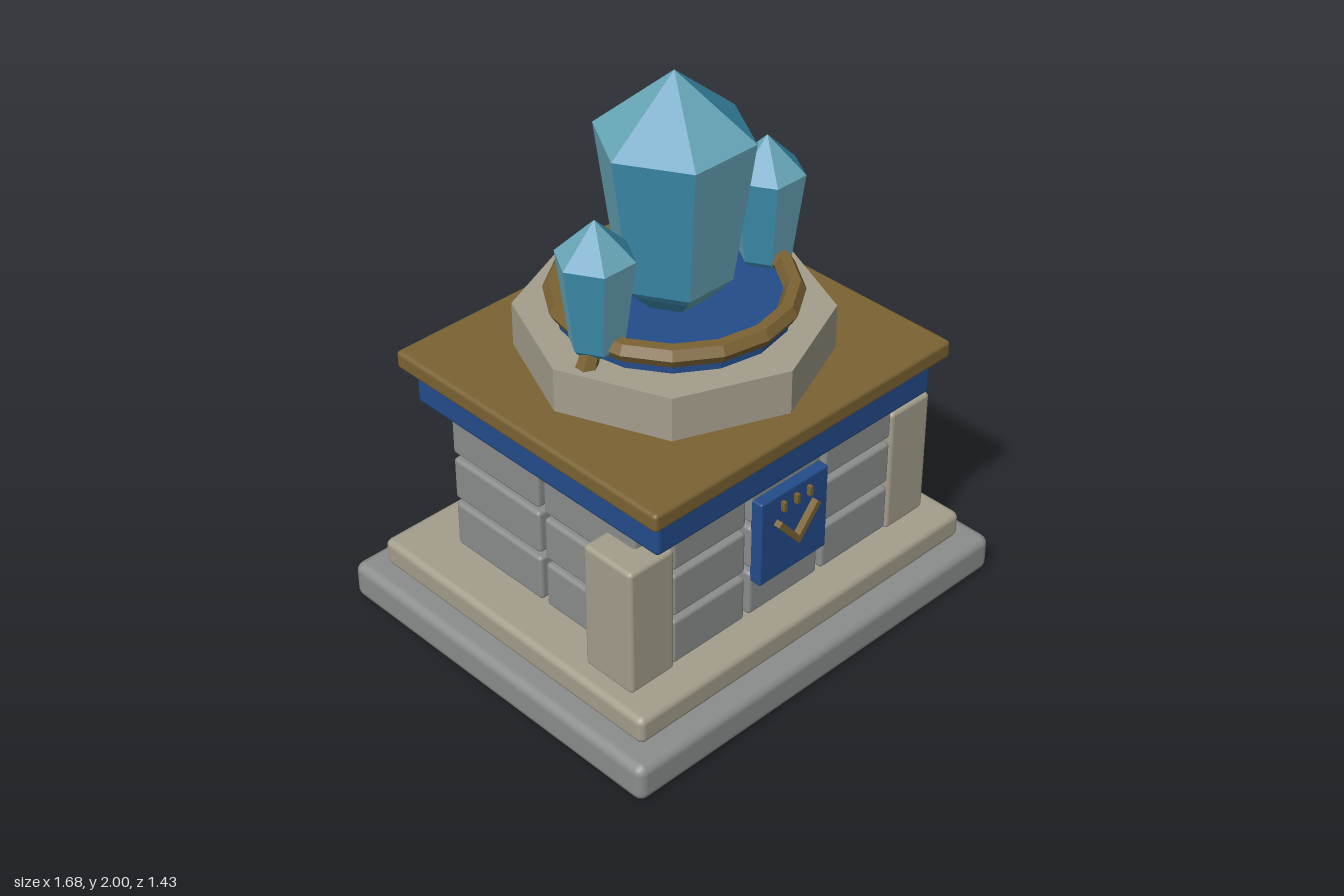
import * as THREE from 'three';
import { RoundedBoxGeometry } from 'three/addons/geometries/RoundedBoxGeometry.js';

const paint = (name, color) => {
  const m = new THREE.MeshStandardMaterial({ color });
  m.name = name;
  return m;
};

export function createModel() {
  const root = new THREE.Group();
  root.name = 'crystalShrine';
  const grey = paint('grey stone', 0x8b8d8d);
  const beige = paint('pale stone', 0xa39d8b);
  const dark = paint('dark mortar', 0x363644);
  const blue = paint('royal blue', 0x234c8a);
  const bronze = paint('bronze', 0x7a6233);
  const teal = paint('deep crystal', 0x3b8bad);
  const ice = paint('light crystal', 0x68a7b9);

  const add = (name, geo, mat, x = 0, y = 0, z = 0) => {
    const m = new THREE.Mesh(geo, mat);
    m.name = name;
    m.position.set(x, y, z);
    root.add(m);
    return m;
  };
  // Rounded box given by its extents along each axis
  const block = (name, mat, [x0, x1], [y0, y1], [z0, z1], r) =>
    add(name, new RoundedBoxGeometry(x1 - x0, y1 - y0, z1 - z0, 2, r), mat,
      (x0 + x1) / 2, (y0 + y1) / 2, (z0 + z1) / 2);
  // Faceted copy of a geometry
  const faceted = (geo) => {
    const g = geo.toNonIndexed();
    g.computeVertexNormals();
    return g;
  };

  // Stepped base
  block('lowerStep', grey, [-0.84, 0.84], [0, 0.142], [-0.715, 0.715], 0.035);
  block('upperStep', beige, [-0.76, 0.76], [0.142, 0.245], [-0.635, 0.635], 0.025);

  // Mortar core with courses of stone blocks
  block('mortarCore', dark, [-0.54, 0.54], [0.24, 0.8], [-0.465, 0.465], 0.01);
  const rows = [[0.25, 0.425], [0.445, 0.61], [0.63, 0.8]];
  for (const row of rows) {
    for (const s of [-1, 1]) {
      const zs = s > 0 ? [0.43, 0.515] : [-0.515, -0.43];
      for (const c of [-1, 0, 1])
        block('wallBlock', grey, [c * 0.343 - 0.162, c * 0.343 + 0.162], row, zs, 0.014);
      const xs = s > 0 ? [0.5, 0.595] : [-0.595, -0.5];
      for (const c of [-1, 1])
        block('sideBlock', grey, xs, row, [c * 0.225 - 0.213, c * 0.225 + 0.213], 0.014);
    }
  }

  // Front corner pillars
  for (const s of [-1, 1])
    block('pillar', beige, [s * 0.597 - 0.095, s * 0.597 + 0.095], [0.24, 0.725], [0.305, 0.52], 0.016);

  // Front plaque with chevron and three ticks
  block('plaque', blue, [-0.155, 0.155], [0.39, 0.722], [0.505, 0.555], 0.008);
  const chevron = new THREE.Shape([
    [-0.098, 0.615], [0, 0.5], [0.098, 0.615], [0.082, 0.63], [0, 0.533], [-0.082, 0.63],
  ].map(([x, y]) => new THREE.Vector2(x, y)));
  add('chevron', new THREE.ExtrudeGeometry(chevron, { depth: 0.03, bevelEnabled: false }), bronze, 0, 0, 0.55);
  for (const x of [-0.06, 0, 0.06])
    add('tick', new THREE.BoxGeometry(0.013, 0.035, 0.02), bronze, x, 0.675, 0.562);

  // Cornice
  block('blueBand', blue, [-0.625, 0.625], [0.785, 0.927], [-0.57, 0.57], 0.018);
  block('roofSlab', bronze, [-0.67, 0.67], [0.923, 0.99], [-0.61, 0.61], 0.015);

  // Octagonal pedestal, inset disc and bronze ring
  add('pedestal', faceted(new THREE.CylinderGeometry(0.525, 0.525, 0.165, 8)), beige, 0, 1.0675, 0);
  add('disc', faceted(new THREE.CylinderGeometry(0.39, 0.39, 0.05, 16)), blue, 0, 1.16, 0);
  add('ring', faceted(new THREE.TorusGeometry(0.387, 0.037, 6, 16).rotateX(Math.PI / 2)), bronze, 0, 1.215, 0);

  // Six-sided crystals whose facets alternate between two colours
  const crystal = (name, profile, x, z) => {
    const pts = profile.map(([r, y]) => new THREE.Vector2(r, y));
    const geo = faceted(new THREE.LatheGeometry(pts, 6, Math.PI / 6));
    const n = geo.attributes.position.count / 6;
    geo.clearGroups();
    for (let i = 0; i < 6; i++) geo.addGroup(i * n, n, i % 2);
    add(name, geo, [teal, ice], x, 0, z);
  };
  crystal('mainCrystal',
    [[0, 1.18], [0.1, 1.18], [0.17, 1.25], [0.195, 1.28], [0.265, 1.78], [0, 2]], 0, 0);
  for (const s of [-1, 1]) {
    crystal('smallCrystal',
      [[0, 1.185], [0.075, 1.185], [0.092, 1.205], [0.132, 1.515], [0, 1.645]], s * 0.375, 0.04);
    // Bronze foot under each small crystal
    const foot = add('crystalFoot', faceted(new THREE.CylinderGeometry(0.03, 0.038, 0.09, 6)),
      bronze, s * 0.425, 1.175, 0.06);
    foot.rotation.z = s * 0.35;
  }
  return root;
}
